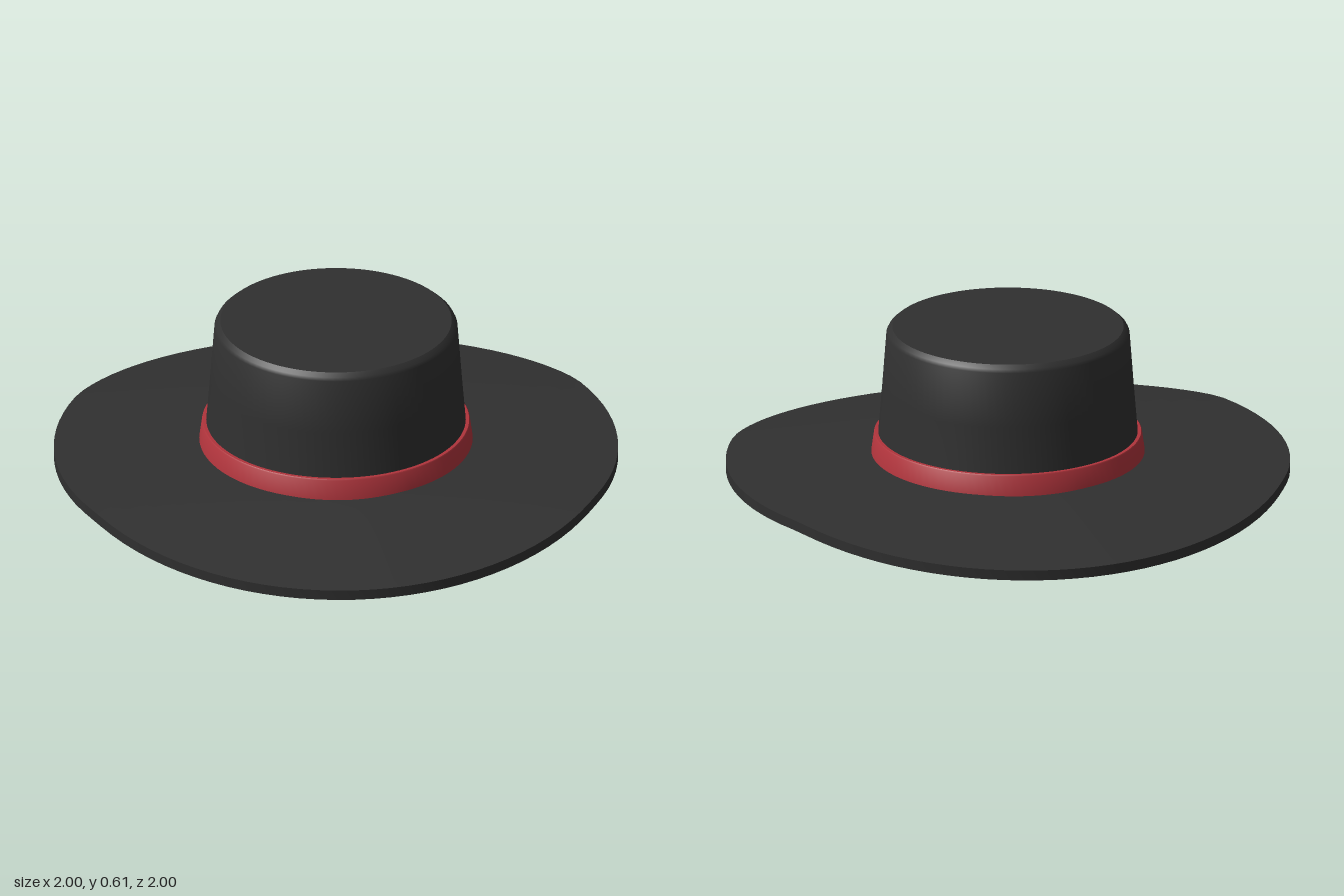
import * as THREE from 'three';
import { mergeVertices, toCreasedNormals } from 'three/addons/utils/BufferGeometryUtils.js';

const SEGMENTS = 96;

// Turns a list of [radius, height] points about y, optionally bending the result
function turned(name, points, material, bend) {
  let geometry = new THREE.LatheGeometry(points.map(([r, y]) => new THREE.Vector2(r, y)), SEGMENTS);
  geometry.deleteAttribute('uv');
  geometry.deleteAttribute('normal');
  if (bend) {
    const p = geometry.attributes.position;
    for (let i = 0; i < p.count; i++) p.setY(i, p.getY(i) - bend(p.getZ(i)));
  }
  geometry = toCreasedNormals(mergeVertices(geometry, 1e-5), 0.6);
  const mesh = new THREE.Mesh(geometry, material);
  mesh.name = name;
  return mesh;
}

// The brim dips towards the front and the back
function dip(z) {
  const d = Math.max(0, Math.abs(z) - 0.45);
  return 0.07 * (d * d / (d + 0.03)) / (0.55 * 0.55 / 0.58);
}

export function createModel() {
  const black = new THREE.MeshStandardMaterial({ color: 0x303030 });
  black.name = 'black felt';
  const red = new THREE.MeshStandardMaterial({ color: 0xb0343c });
  red.name = 'red ribbon';

  const hat = new THREE.Group();
  hat.name = 'hat';

  // Brim: underside outwards, rim, then upper side inwards
  const under = [], upper = [];
  for (let i = 0; i <= 14; i++) {
    const t = i / 14;
    under.push([0.47 + 0.53 * t, 0.098 - 0.028 * t]);
    upper.unshift([0.46 + 0.54 * t, 0.14 - 0.033 * t]);
  }
  hat.add(turned('brim', [[0.44, 0.125], [0.444, 0.11], [0.455, 0.101], ...under, ...upper], black, dip));

  // Crown: tapered wall with a bevelled flat top
  hat.add(turned('crown', [
    [0.468, 0.13], [0.459, 0.22], [0.446, 0.38], [0.431, 0.58], [0.425, 0.592], [0.41, 0.605], [0, 0.605],
  ], black));

  // Inside of the crown, facing the axis
  hat.add(turned('crownInside', [[0.405, 0.565], [0.42, 0.38], [0.44, 0.125]], black));
  hat.add(turned('lining', [[0, 0.565], [0.405, 0.565]], red));

  // Ribbon around the foot of the crown
  hat.add(turned('ribbon', [
    [0.46, 0.128], [0.486, 0.128], [0.475, 0.208], [0.472, 0.212], [0.455, 0.212],
  ], red));

  return hat;
}
